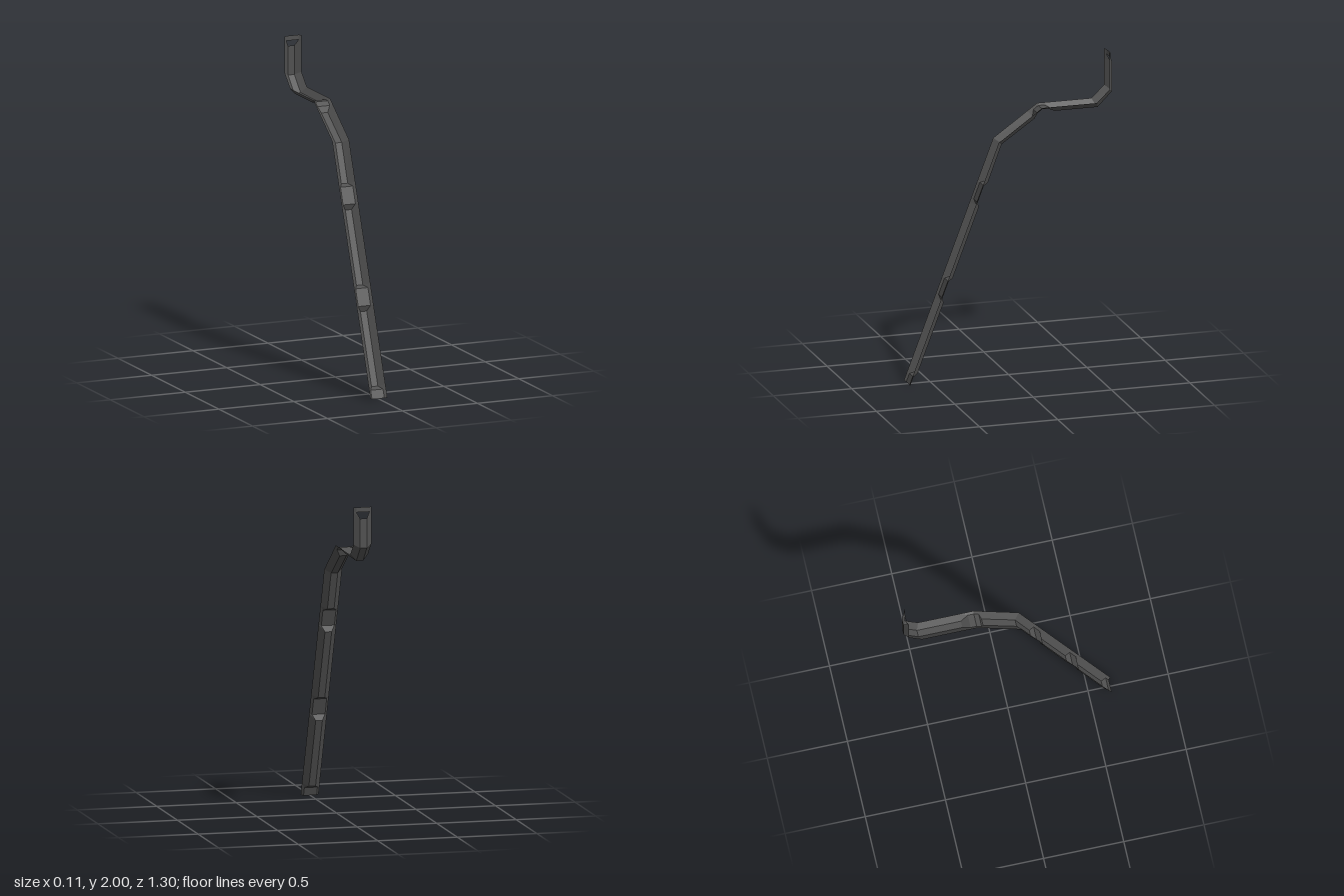
import * as THREE from 'three';

const EDGE = 0.056;                    // half width at the open rim
const DEEP = 0.021, SHALLOW = 0.041;   // half widths of the channel floor

// One cross-section: rim point, floor point (each z, y) and floor half width
const section = (rz, ry, fz, fy, w) => [
  new THREE.Vector3(-EDGE, ry, rz), new THREE.Vector3(-w, fy, fz),
  new THREE.Vector3(w, fy, fz), new THREE.Vector3(EDGE, ry, rz),
];

// Cross-section on the straight leg, placed by the height of its rim
function legSection(y, deep) {
  const z = 0.65 - (y - 0.005) * (0.57 / 1.49);
  const d = deep ? 0.037 : 0.012;
  return section(z, y, z - 0.934 * d, y - 0.357 * d, deep ? DEEP : SHALLOW);
}

// Sheet strip through the cross-sections; openSpan leaves out one floor panel
function channel(sections, material, name, openSpan = -1) {
  const points = [];
  for (let i = 0; i < sections.length - 1; i++) {
    const a = sections[i], b = sections[i + 1];
    for (let k = 0; k < 3; k++) {
      if (i === openSpan && k === 1) continue;
      points.push(a[k], a[k + 1], b[k + 1], a[k], b[k + 1], b[k]);
    }
  }
  const geometry = new THREE.BufferGeometry().setFromPoints(points);
  geometry.computeVertexNormals();
  const mesh = new THREE.Mesh(geometry, material);
  mesh.name = name;
  return mesh;
}

export function createModel() {
  const group = new THREE.Group();
  group.name = 'bentChannelBracket';
  const steel = new THREE.MeshStandardMaterial({ color: 0x505050, side: THREE.DoubleSide });
  steel.name = 'dark grey steel';

  // Sections shared by neighbouring parts
  const knee = section(0.08, 1.495, 0.05, 1.475, DEEP);
  const crest = section(-0.2, 1.692, -0.203, 1.68, SHALLOW);
  const heel = section(-0.547, 1.692, -0.562, 1.656, DEEP);

  // Long leg with a flattened foot and two flattened pads
  const leg = [legSection(0.005, false), legSection(0.057, false), legSection(0.08, true)];
  for (const y of [0.513, 1.1]) {
    leg.push(legSection(y, true), legSection(y + 0.028, false),
      legSection(y + 0.13, false), legSection(y + 0.152, true));
  }
  leg.push(knee);
  group.add(channel(leg, steel, 'leg'));

  // Sloping arm up to the crest
  group.add(channel([
    knee,
    section(-0.138, 1.648, -0.159, 1.618, DEEP),
    section(-0.165, 1.667, -0.172, 1.657, SHALLOW),
    crest,
  ], steel, 'slopingArm'));

  // Level arm behind the crest
  group.add(channel([
    crest,
    section(-0.24, 1.692, -0.24, 1.68, SHALLOW),
    section(-0.288, 1.692, -0.288, 1.656, DEEP),
    heel,
  ], steel, 'levelArm'));

  // Upright hook with an open slot below its flat tip
  group.add(channel([
    heel,
    section(-0.627, 1.77, -0.655, 1.75, DEEP),
    section(-0.627, 1.935, -0.655, 1.932, DEEP),
    section(-0.627, 1.97, -0.637, 1.97, SHALLOW),
    section(-0.627, 2.0, -0.637, 2.0, SHALLOW),
  ], steel, 'uprightHook', 2));

  return group;
}
